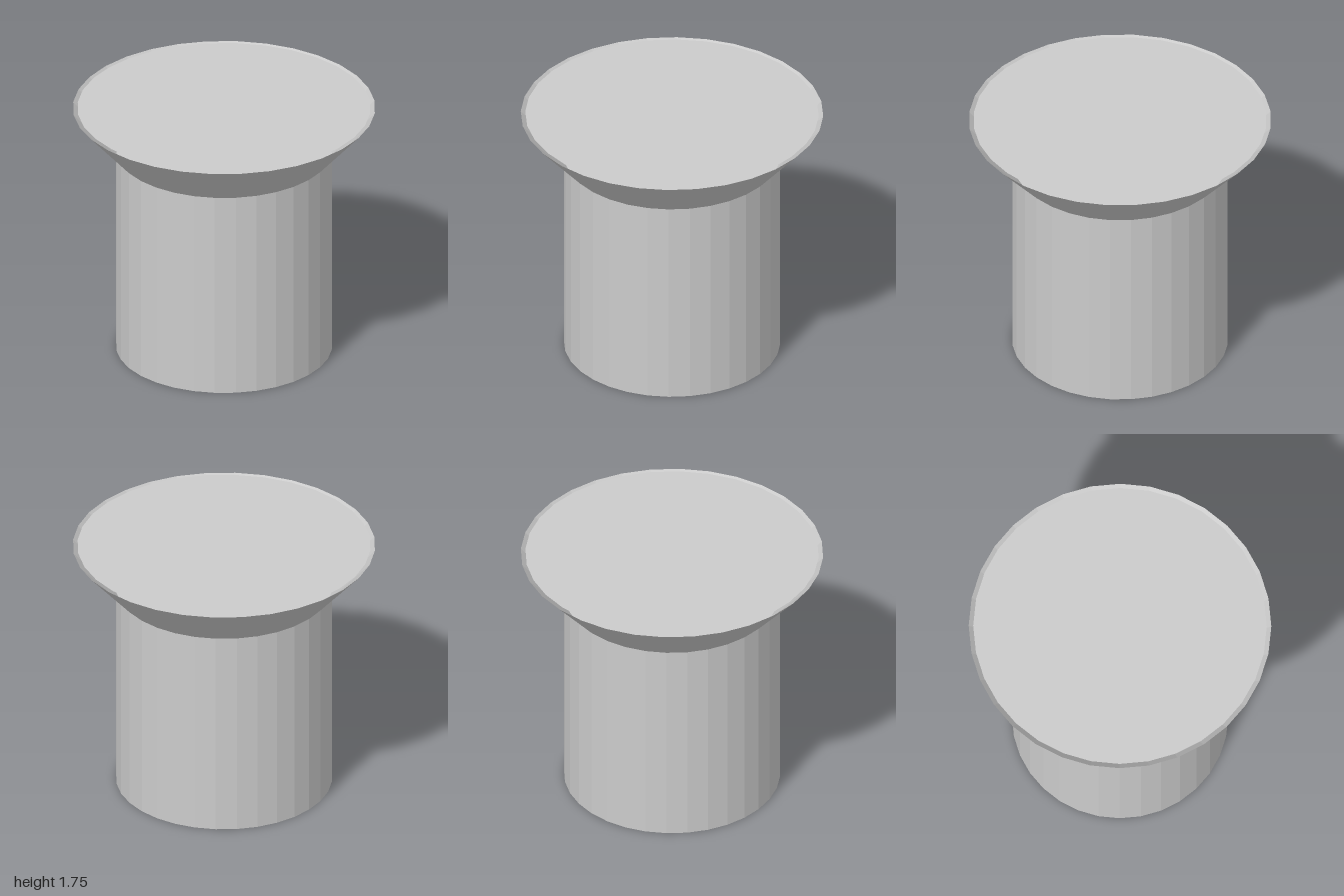
import * as THREE from 'three';

const SIDES = 32;

export function createModel() {
  const model = new THREE.Group();
  const solid = new THREE.MeshStandardMaterial({ color: 0xcccccc, flatShading: true });
  const sheet = new THREE.MeshStandardMaterial({ color: 0xcccccc, flatShading: true, side: THREE.DoubleSide });

  const add = (name, geometry, material, y) => {
    const mesh = new THREE.Mesh(geometry, material);
    mesh.name = name;
    mesh.position.y = y;
    model.add(mesh);
    return mesh;
  };

  const bodyTop = 1.435, top = 1.75, radius = 0.715;

  // Straight cylindrical body
  add('body', new THREE.CylinderGeometry(radius, radius, bodyTop, SIDES), solid, bodyTop / 2);

  // Thin open flare widening up to the rim
  add('flare', new THREE.CylinderGeometry(1, radius, top - bodyTop, SIDES, 1, true), sheet, (top + bodyTop) / 2);

  // Flat lid just inside the rim, leaving a narrow gap around it
  const lid = new THREE.CircleGeometry(0.97, SIDES).rotateX(-Math.PI / 2);
  add('lid', lid, sheet, top);

  return model;
}
